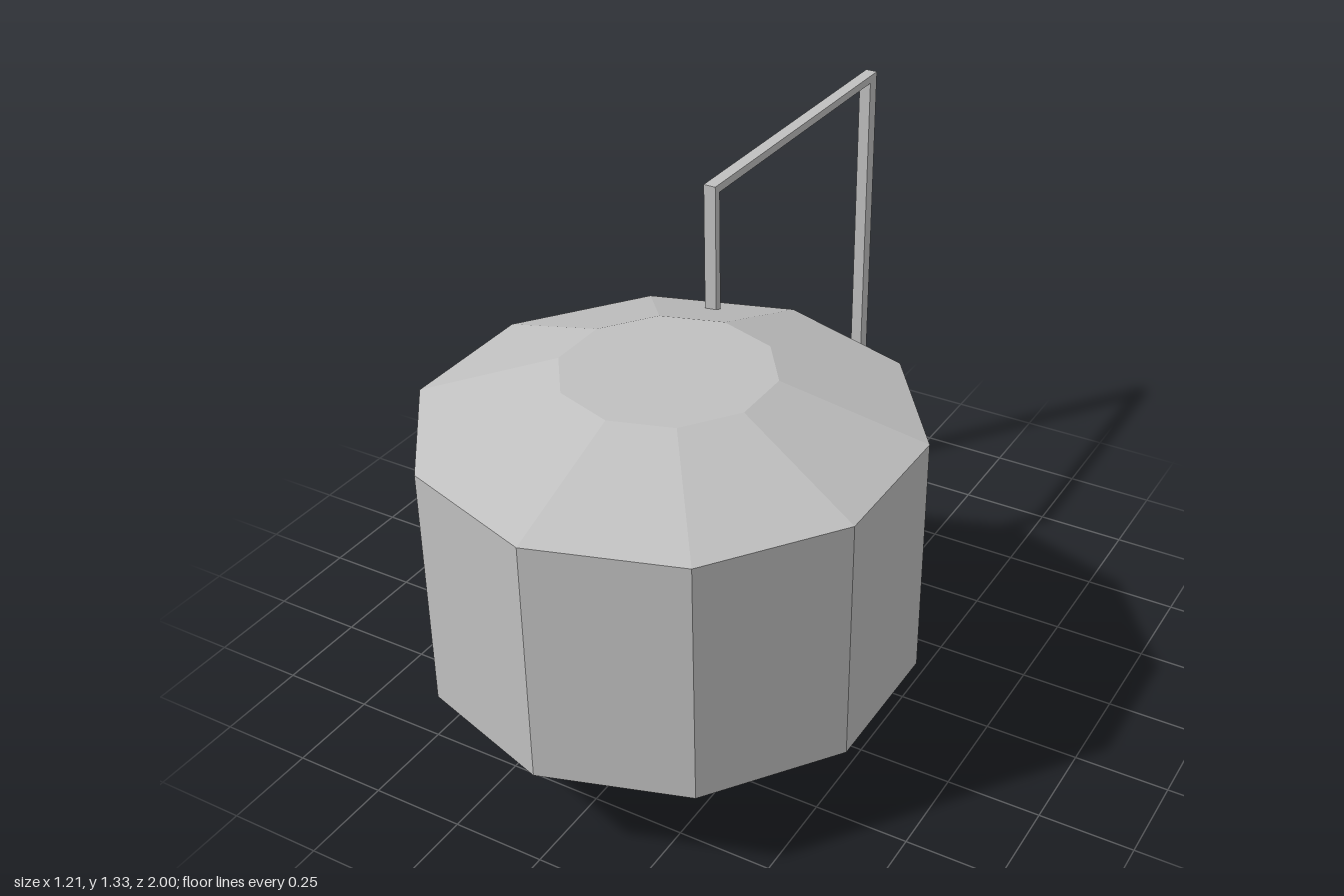
import * as THREE from 'three';

export function createModel() {
  const group = new THREE.Group();
  const grey = new THREE.MeshStandardMaterial({ color: 0xc0c0c0, flatShading: true });
  grey.name = 'light grey';

  const add = (name, geometry, x, y, z) => {
    const mesh = new THREE.Mesh(geometry, grey);
    mesh.name = name;
    mesh.position.set(x, y, z);
    group.add(mesh);
  };

  // Ten-sided tank: walls, sloping roof with a flat top, and floor
  const sides = 10, radius = 0.6375, topRadius = 0.272, centreZ = 0.3625;
  const floorY = 0.272, eavesY = 0.93, topY = 1.063;
  const ring = (r0, r1, y0, y1) => new THREE.CylinderGeometry(r1, r0, y1 - y0, sides, 1, true);
  const disc = (r, up) => new THREE.CircleGeometry(r, sides, Math.PI / 2).rotateX(up ? -Math.PI / 2 : Math.PI / 2);
  add('tankWall', ring(radius, radius, floorY, eavesY), 0, (floorY + eavesY) / 2, centreZ);
  add('roofSlope', ring(radius, topRadius, eavesY, topY), 0, (eavesY + topY) / 2, centreZ);
  add('roofTop', disc(topRadius, true), 0, topY, centreZ);
  add('tankFloor', disc(radius, false), 0, floorY, centreZ);

  // Square feed pipe: up from the ground, across, and down into the roof
  const pipeX = -0.143, width = 0.034;
  const bar = (name, y0, y1, z0, z1) =>
    add(name, new THREE.BoxGeometry(width, y1 - y0, z1 - z0), pipeX, (y0 + y1) / 2, (z0 + z1) / 2);
  bar('pipeRiser', 0, 1.312, -1, -0.96);
  bar('pipeCrossbar', 1.312, 1.334, -1, -0.082);
  bar('pipeDrop', 0.97, 1.312, -0.104, -0.082);

  return group;
}
